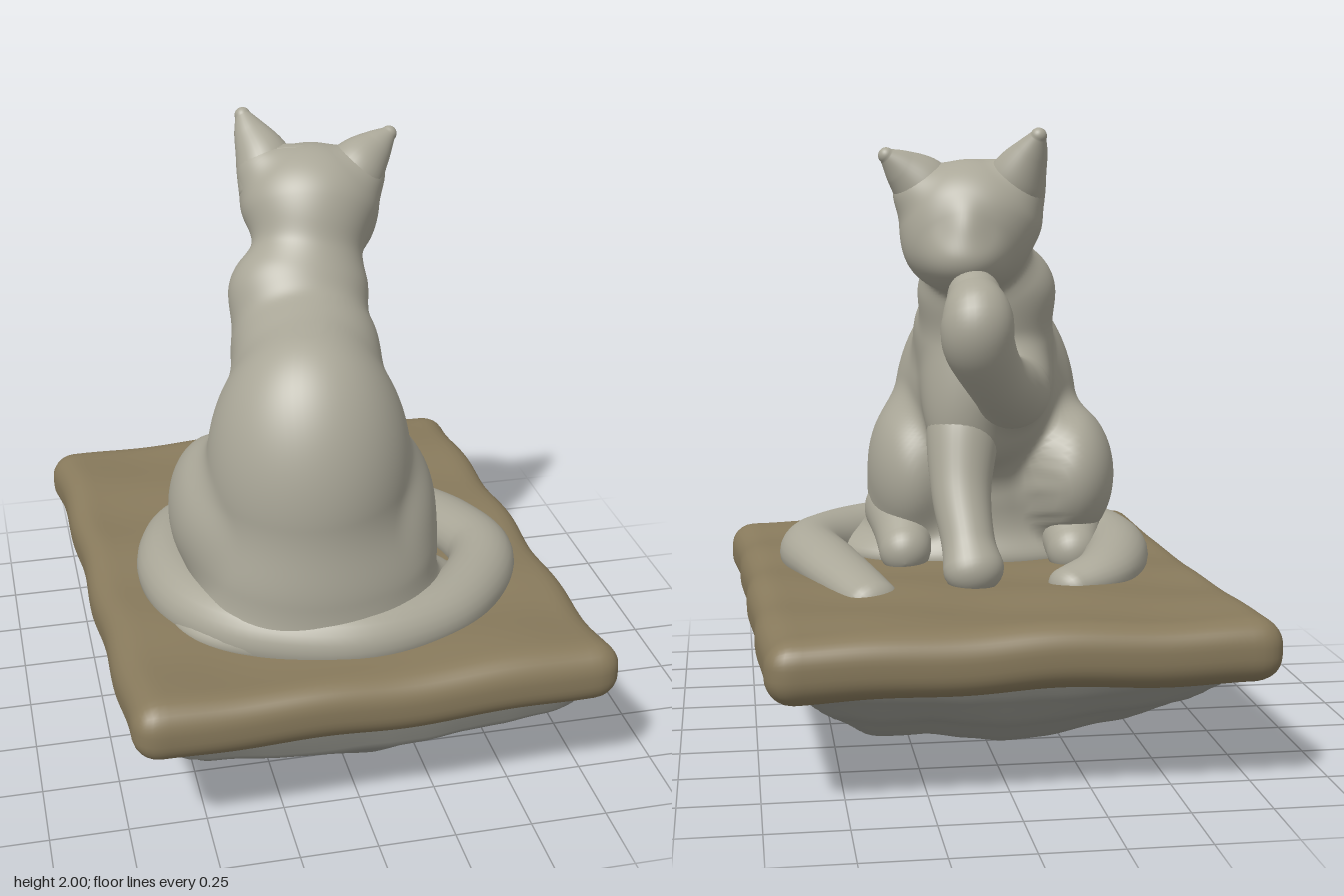
import * as THREE from 'three';
import { mergeVertices } from 'three/addons/utils/BufferGeometryUtils.js';

const furMaterial = new THREE.MeshStandardMaterial({ color: 0xaaa798 });
const slabMaterial = new THREE.MeshStandardMaterial({ color: 0x887a5c });
const rockMaterial = new THREE.MeshStandardMaterial({ color: 0x94948c, side: THREE.DoubleSide });

function addMesh(group, name, geometry, material = furMaterial) {
  const mesh = new THREE.Mesh(geometry, material);
  mesh.name = name;
  group.add(mesh);
}

// Smooth closed skin over a stack of equal rings of points
function skin(rings) {
  const positions = [], index = [], sides = rings[0].length;
  rings.forEach((points, i) => points.forEach((p, j) => {
    positions.push(p.x, p.y, p.z);
    if (i === 0) return;
    const j2 = (j + 1) % sides, lo = (i - 1) * sides, hi = i * sides;
    index.push(lo + j, lo + j2, hi + j2, lo + j, hi + j2, hi + j);
  }));
  const geometry = new THREE.BufferGeometry();
  geometry.setAttribute('position', new THREE.Float32BufferAttribute(positions, 3));
  geometry.setIndex(index);
  geometry.computeVertexNormals();
  return geometry;
}

// Limb through sections [x, y, z, halfWidth, halfDepth] with round ends; ref is the width direction.
function loft(sections, { ref = [1, 0, 0], steps = 48, sides = 32 } = {}) {
  const path = new THREE.CatmullRomCurve3(sections.map(s => new THREE.Vector3(s[0], s[1], s[2])), false, 'catmullrom');
  const size = new THREE.CatmullRomCurve3(sections.map(s => new THREE.Vector3(s[3], s[4] ?? s[3], 0)), false, 'catmullrom');
  const rings = [], capRings = 8;
  const ring = (t, angle, dir) => {
    const c = path.getPoint(t), r = size.getPoint(t), n = path.getTangent(t);
    c.addScaledVector(n, dir * Math.cos(angle) * Math.min(r.x, r.y));
    r.multiplyScalar(Math.max(Math.sin(angle), 0.001));
    const s = new THREE.Vector3(...ref);
    s.addScaledVector(n, -s.dot(n)).normalize();
    const u = new THREE.Vector3().crossVectors(n, s);
    rings.push(Array.from({ length: sides }, (_, j) => {
      const a = j / sides * Math.PI * 2;
      return c.clone().addScaledVector(s, r.x * Math.cos(a)).addScaledVector(u, r.y * Math.sin(a));
    }));
  };
  for (let k = 0; k < capRings; k++) ring(0, k / capRings * Math.PI / 2, -1);
  for (let i = 0; i <= steps; i++) ring(i / steps, Math.PI / 2, 0);
  for (let k = capRings - 1; k >= 0; k--) ring(1, k / capRings * Math.PI / 2, 1);
  return skin(rings);
}

// Distance to ellipsoids [cx, cy, cz, rx, ry, rz, softness] melted together
function blobDistance(blobs, x, y, z) {
  let d = 10;
  for (const [cx, cy, cz, rx, ry, rz, k] of blobs) {
    const px = (x - cx) / rx, py = (y - cy) / ry, pz = (z - cz) / rz;
    const k0 = Math.hypot(px, py, pz), k1 = Math.hypot(px / rx, py / ry, pz / rz);
    const e = k1 > 1e-6 ? k0 * (k0 - 1) / k1 : -Math.min(rx, ry, rz);
    const h = Math.max(k - Math.abs(d - e), 0) / k;
    d = Math.min(d, e) - h * h * k / 4;
  }
  return d;
}

// Half-eased lookup in a list of [position, value]
function lookup(table, p) {
  let i = 1;
  while (i < table.length - 1 && p > table[i][0]) i++;
  const [a, va] = table[i - 1], [b, vb] = table[i];
  return va + (vb - va) * (0.5 * THREE.MathUtils.smoothstep(p, a, b) + 0.5 * THREE.MathUtils.clamp((p - a) / (b - a), 0, 1));
}

// Horizontal rings around a spine, each point pushed out to the melted ellipsoids
function blend(blobs, spineX, spineZ, bottom, top, steps = 170, sides = 112) {
  const rings = [];
  for (let i = 0; i <= steps; i++) {
    const y = bottom + (top - bottom) * Math.sin(i / steps * Math.PI / 2);
    const cx = lookup(spineX, y), cz = lookup(spineZ, y);
    rings.push(Array.from({ length: sides }, (_, j) => {
      const a = j / sides * Math.PI * 2, dx = Math.cos(a), dz = -Math.sin(a);
      let near = 0, far = 0.8;
      for (let n = 0; n < 16; n++) {
        const mid = (near + far) / 2;
        if (blobDistance(blobs, cx + dx * mid, y, cz + dz * mid) < 0) near = mid; else far = mid;
      }
      return new THREE.Vector3(cx + dx * near, y, cz + dz * near);
    }));
  }
  return skin(rings);
}

// Moves every vertex by a rule and smooths the result.
function reshape(geometry, rule) {
  geometry.deleteAttribute('normal');
  geometry.deleteAttribute('uv');
  const g = mergeVertices(geometry), pos = g.attributes.position, v = new THREE.Vector3();
  for (let i = 0; i < pos.count; i++) {
    rule(v.fromBufferAttribute(pos, i));
    pos.setXYZ(i, v.x, v.y, v.z);
  }
  g.computeVertexNormals();
  return g;
}

// Slightly skewed, waisted outline shared by slab and rock
function skew(v) {
  const { x, z } = v;
  v.x = x * (0.985 + 0.025 * z * z) + 0.042 * z;
  v.z = z - 0.025 * x;
}

function buildBase(group) {
  const half = new THREE.Vector3(0.78, 0.1, 0.92), r = 0.085;
  const inner = half.clone().subScalar(r);
  addMesh(group, 'slab', reshape(new THREE.BoxGeometry(half.x * 2, half.y * 2, half.z * 2, 56, 12, 64), v => {
    const core = v.clone().clamp(inner.clone().negate(), inner);
    v.sub(core).normalize().multiplyScalar(r).add(core);
    const wobble = 0.005 * Math.sin(v.x * 11 + v.z * 4) + 0.005 * Math.sin(v.z * 13 - v.x * 5);
    v.y += 0.435 + wobble + 0.01 * v.z * v.z;
    v.x += wobble;
    skew(v);
  }), slabMaterial);

  // Lumpy rock under the slab
  const acrossX = [[-0.74, 0.42], [-0.69, 0.33], [-0.5, 0.21], [-0.3, 0.11], [-0.1, 0.03], [0.04, 0],
    [0.15, 0.03], [0.28, 0.1], [0.42, 0.11], [0.55, 0.19], [0.69, 0.32], [0.74, 0.42]];
  const acrossZ = [[-0.88, 0.42], [-0.83, 0.31], [-0.76, 0.22], [-0.64, 0.13], [-0.52, 0.1], [-0.38, 0.15], [-0.25, 0.21], [-0.12, 0.19],
    [-0.02, 0.16], [0.11, 0.28], [0.21, 0.22], [0.32, 0.06], [0.43, 0], [0.61, 0.08], [0.83, 0.24], [0.88, 0.42]];
  addMesh(group, 'rockUnderside', reshape(new THREE.PlaneGeometry(1.48, 1.76, 74, 88).rotateX(Math.PI / 2), v => {
    const a = 1 - lookup(acrossX, v.x) / 0.42, b = 1 - lookup(acrossZ, v.z) / 0.42;
    const depth = 0.5 * (a * b + Math.min(a, b));
    const bump = 0.012 * Math.sin(v.x * 14 + v.z * 6) * Math.sin(v.z * 12);
    v.y = 0.42 * (1 - depth) + bump * Math.min(1, depth * 3) * (1 - depth);
    skew(v);
  }), rockMaterial);
}

function buildCat(group) {
  const blobs = [
    [-0.085, 1.02, 0.375, 0.325, 0.48, 0.325, 0.08], // back
    [-0.06, 0.7, 0.4, 0.38, 0.3, 0.31, 0.1], // rump
    [-0.05, 0.54, 0.38, 0.5, 0.12, 0.33, 0.1], // seat spreading on the slab
    [-0.05, 1.15, 0.16, 0.24, 0.32, 0.27, 0.08], // ribs
    [-0.04, 1.25, 0.01, 0.215, 0.34, 0.18, 0.06], // chest
    [-0.04, 1.35, 0.14, 0.225, 0.18, 0.24, 0.08], // withers
    [-0.035, 1.47, -0.01, 0.23, 0.19, 0.175, 0.05], // neck
    [0.02, 1.62, -0.09, 0.175, 0.16, 0.15, 0.06], // nape
    [-0.34, 0.82, 0.23, 0.175, 0.25, 0.28, 0.06], // right haunch
    [0.18, 0.83, 0.31, 0.16, 0.27, 0.26, 0.06], // left haunch
    [0.05, 1.08, -0.03, 0.12, 0.22, 0.12, 0.06], // left shoulder
    [-0.11, 1.17, -0.1, 0.125, 0.13, 0.13, 0.06], // right shoulder
    [0.04, 1.72, -0.18, 0.23, 0.185, 0.21, 0.05], // skull
    [0.065, 1.64, -0.21, 0.2, 0.165, 0.18, 0.04], // cheeks
    [0.08, 1.595, -0.33, 0.105, 0.085, 0.1, 0.06], // muzzle
    [0.08, 1.68, -0.33, 0.05, 0.08, 0.07, 0.05], // nose bridge
    [-0.1, 1.82, -0.225, 0.09, 0.09, 0.08, 0.05], // right ear base
    [0.19, 1.8, -0.18, 0.1, 0.08, 0.09, 0.05], // left ear base
  ];
  const spineX = [[0.5, -0.06], [1.4, -0.04], [1.7, 0.05], [1.95, 0.05]];
  const spineZ = [[0.5, 0.36], [0.8, 0.33], [1.2, 0.17], [1.4, 0.08], [1.5, 0], [1.6, -0.13], [1.75, -0.18], [1.95, -0.18]];
  addMesh(group, 'bodyAndHead', blend(blobs, spineX, spineZ, 0.5, 1.906));

  // Ears
  addMesh(group, 'earRight', loft([
    [-0.08, 1.78, -0.21, 0.115, 0.1], [-0.105, 1.86, -0.255, 0.09, 0.085], [-0.135, 1.93, -0.3, 0.055, 0.05], [-0.152, 1.975, -0.33, 0.026],
  ]));
  addMesh(group, 'earLeft', loft([
    [0.16, 1.77, -0.17, 0.11, 0.11], [0.21, 1.83, -0.185, 0.095, 0.095], [0.27, 1.88, -0.205, 0.06, 0.055], [0.315, 1.915, -0.22, 0.026],
  ], { ref: [0.7, -0.7, 0] }));

  // Hind feet
  for (const [name, x, z] of [['hindFootRight', -0.35, 0.06], ['hindFootLeft', 0.22, 0.14]]) {
    addMesh(group, name, loft([[x, 0.68, z + 0.2, 0.13], [x, 0.63, z + 0.08, 0.11], [x + 0.01, 0.58, z - 0.03, 0.09]]));
  }

  // Standing foreleg and the one raised to the mouth
  addMesh(group, 'standingForeleg', loft([
    [0.03, 1.15, 0, 0.1], [0.05, 1.0, -0.04, 0.12], [0.065, 0.82, -0.12, 0.1],
    [0.055, 0.67, -0.21, 0.088], [0.045, 0.59, -0.27, 0.1, 0.085],
  ]));
  addMesh(group, 'raisedForeleg', loft([
    [-0.1, 1.19, -0.05, 0.11], [-0.1, 1.155, -0.15, 0.125], [-0.06, 1.18, -0.27, 0.11], [0, 1.24, -0.38, 0.1],
    [0.055, 1.34, -0.46, 0.112], [0.06, 1.42, -0.47, 0.11], [0.06, 1.48, -0.4, 0.085],
  ]));

  // Tail lying around the body on the slab
  addMesh(group, 'tail', loft([
    [-0.27, 0.53, -0.29, 0.06, 0.08], [-0.4, 0.55, -0.2, 0.08, 0.1], [-0.48, 0.56, -0.02, 0.1, 0.11],
    [-0.495, 0.56, 0.17, 0.11, 0.12], [-0.44, 0.56, 0.38, 0.115, 0.12], [-0.28, 0.56, 0.55, 0.115, 0.12], [0, 0.56, 0.64, 0.11, 0.12],
    [0.28, 0.56, 0.58, 0.1, 0.11], [0.46, 0.56, 0.42, 0.1, 0.11], [0.545, 0.56, 0.23, 0.1, 0.11],
    [0.5, 0.555, 0.01, 0.085, 0.11], [0.43, 0.53, -0.19, 0.075, 0.1], [0.38, 0.51, -0.32, 0.065, 0.09],
  ], { ref: [0, 1, 0], steps: 96, sides: 24 }));
}

export function createModel() {
  const model = new THREE.Group();
  model.name = 'washingCatOnSlab';
  buildBase(model);
  buildCat(model);
  return model;
}
